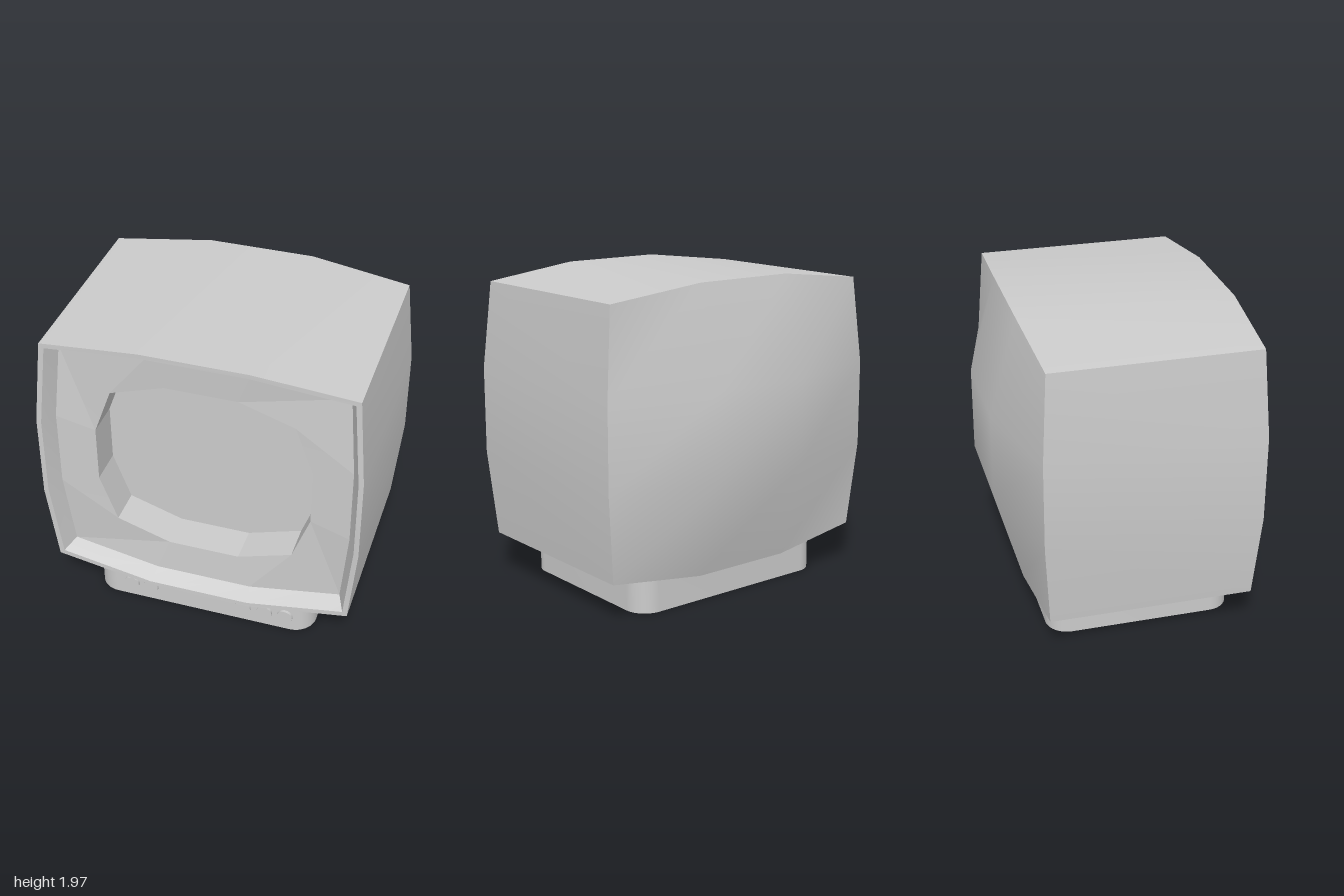
import * as THREE from 'three';
import { toCreasedNormals } from 'three/addons/utils/BufferGeometryUtils.js';

const CY = 1.082; // height of the cabinet's centre

// Mesh from quads and triangles, smooth except at sharp edges
function facesMesh(name, faces, crease = 0.5) {
  const pos = [];
  for (const f of faces) {
    for (let i = 1; i < f.length - 1; i++) pos.push(...f[0], ...f[i], ...f[i + 1]);
  }
  const geo = new THREE.BufferGeometry();
  geo.setAttribute('position', new THREE.Float32BufferAttribute(pos, 3));
  return makeMesh(name, toCreasedNormals(geo, crease));
}

function makeMesh(name, geo) {
  const mesh = new THREE.Mesh(geo, new THREE.MeshStandardMaterial({ color: 0xcccccc }));
  mesh.name = name;
  return mesh;
}

// Twelve-point bulging outline, counter-clockwise, mirrored from one quarter
function ring(side, corner, top, zMid, zCorner = zMid) {
  const quarter = [[...side, zMid], [...corner, zCorner], [...top, zMid]];
  const flip = (sx, sy) => quarter.map(([x, y, z]) => [x * sx, CY + y * sy, z]);
  return [...flip(1, 1), ...flip(-1, 1).reverse(), ...flip(-1, -1), ...flip(1, -1).reverse()];
}

// Quads joining successive rings
function loft(...rings) {
  const faces = [];
  for (let k = 0; k < rings.length - 1; k++) {
    const a = rings[k], b = rings[k + 1];
    a.forEach((p, i) => {
      const j = (i + 1) % a.length;
      faces.push([p, a[j], b[j], b[i]]);
    });
  }
  return faces;
}

// Bulged back as a 4 x 4 grid of points
function backFaces() {
  const point = (i, j) => {
    const ex = i % 3 === 0, ey = j % 3 === 0;
    const x = ex ? (ey ? 0.95 : 1) : 0.33;
    const y = ey ? (ex ? 0.815 : 0.888) : 0.272;
    const z = ex && ey ? -0.545 : ex || ey ? -0.58 : -0.75;
    return [i < 2 ? -x : x, CY + (j < 2 ? -y : y), z];
  };
  const faces = [];
  for (let i = 0; i < 3; i++) {
    for (let j = 0; j < 3; j++) {
      faces.push([point(i, j + 1), point(i + 1, j + 1), point(i + 1, j), point(i, j)]);
    }
  }
  return faces;
}

function roundedRect(w, d, r) {
  const s = new THREE.Shape();
  const x = w / 2, y = d / 2;
  s.absarc(x - r, y - r, r, 0, Math.PI / 2);
  s.absarc(-x + r, y - r, r, Math.PI / 2, Math.PI);
  s.absarc(-x + r, -y + r, r, Math.PI, Math.PI * 1.5);
  s.absarc(x - r, -y + r, r, Math.PI * 1.5, Math.PI * 2);
  return s;
}

export function createModel() {
  const model = new THREE.Group();
  model.name = 'television';

  const outer = [[1, 0.272], [0.95, 0.815], [0.33, 0.888]];
  const opening = [[0.675, 0.185], [0.565, 0.487], [0.225, 0.598]];
  const backRing = ring(...outer, -0.58, -0.545);
  const frontRing = ring(...outer, 0.748, 0.715);
  const rimRing = ring([0.97, 0.26], [0.92, 0.787], [0.32, 0.86], 0.748, 0.715);
  const panelRing = ring([0.92, 0.25], [0.875, 0.75], [0.305, 0.818], 0.645, 0.61);
  const openingRing = ring(...opening, 0.63);
  const screenRing = ring(...opening, 0.4);

  // Cabinet shell with back and front rim
  model.add(facesMesh('cabinet', [...loft(backRing, frontRing, rimRing, panelRing), ...backFaces()]));

  // Panel around the screen, recess walls and screen
  model.add(facesMesh('screenSurround', loft(panelRing, openingRing), 0.05));
  model.add(facesMesh('screenRecess', loft(openingRing, screenRing), 0.05));
  model.add(facesMesh('screen', [screenRing]));

  // Base with rounded corners
  const baseGeo = new THREE.ExtrudeGeometry(roundedRect(1.44, 1.175, 0.14), {
    depth: 0.225, bevelEnabled: false, curveSegments: 10,
  });
  baseGeo.rotateX(-Math.PI / 2);
  const base = makeMesh('base', toCreasedNormals(baseGeo, 0.5));
  base.position.z = 0.09;
  model.add(base);

  // Control knobs along the front of the base
  const knobGeo = new THREE.CylinderGeometry(0.05, 0.05, 0.05, 24).rotateX(Math.PI / 2);
  for (const x of [-0.475, -0.345, 0.275, 0.415, 0.55]) {
    const knob = makeMesh('knob', knobGeo);
    knob.position.set(x, 0.11, 0.67);
    model.add(knob);
  }
  return model;
}
